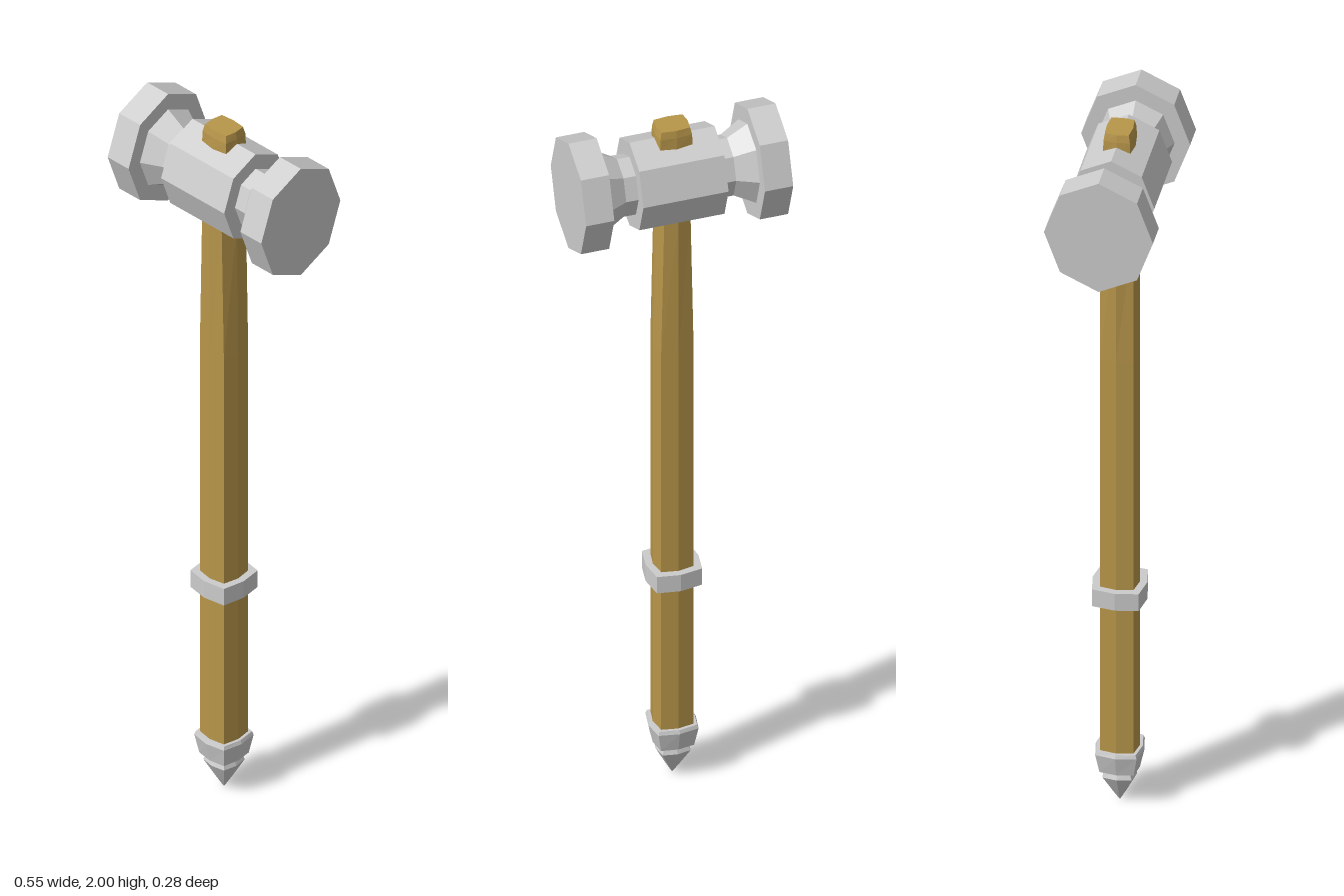
import * as THREE from 'three';

const steel = new THREE.MeshStandardMaterial({ color: 0xcccccc, flatShading: true });
const wood = new THREE.MeshStandardMaterial({ color: 0xb8964a, flatShading: true });

// Ring of eight points: a rectangle whose four sides bulge at the middle.
function ring([y, cx, mx, cz = cx, mz = mx]) {
  return [[0, mz], [cx, cz], [mx, 0], [cx, -cz], [0, -mz], [-cx, -cz], [-mx, 0], [-cx, cz]]
    .map(([x, z]) => [x, y, z]);
}

// Skin a stack of rings from bottom to top and cap both ends.
function loft(sections) {
  const rings = sections.map(ring);
  const pos = [];
  const tri = (a, b, c) => pos.push(...a, ...b, ...c);
  const last = rings.length - 1;
  const bottom = [0, sections[0][0], 0];
  const top = [0, sections[last][0], 0];
  for (let i = 0; i < 8; i++) {
    const j = (i + 1) % 8;
    for (let k = 0; k < last; k++) {
      const lo = rings[k], hi = rings[k + 1];
      tri(lo[i], lo[j], hi[j]);
      tri(lo[i], hi[j], hi[i]);
    }
    tri(bottom, rings[0][j], rings[0][i]);
    tri(top, rings[last][i], rings[last][j]);
  }
  const geo = new THREE.BufferGeometry();
  geo.setAttribute('position', new THREE.Float32BufferAttribute(pos, 3));
  geo.computeVertexNormals();
  return geo;
}

export function createModel() {
  const model = new THREE.Group();
  model.name = 'warHammer';
  const add = (name, geo, material) => {
    const mesh = new THREE.Mesh(geo, material);
    mesh.name = name;
    model.add(mesh);
    return mesh;
  };

  // Octagonal head: half profile of [radius, distance from centre], mirrored
  const half = [[0.111, 0.113], [0.073, 0.113], [0.073, 0.146], [0.1, 0.2],
    [0.14, 0.2], [0.14, 0.275], [0, 0.275]];
  const profile = [...half.map(([r, x]) => [r, -x]).reverse(), ...half]
    .map(([r, x]) => new THREE.Vector2(r, x));
  const headGeo = new THREE.LatheGeometry(profile, 8).toNonIndexed();
  headGeo.rotateZ(-Math.PI / 2);
  headGeo.scale(1, 1.15, 1);
  headGeo.computeVertexNormals();
  add('hammerHead', headGeo, steel).position.y = 1.839;

  // Wooden shaft, tapering towards the head and poking out on top
  add('handle', loft([
    [0.13, 0.043, 0.051],
    [1.33, 0.043, 0.051],
    [1.73, 0.035, 0.047, 0.043, 0.051],
    [1.95, 0.043, 0.048, 0.035, 0.04],
    [1.98, 0.042, 0.046, 0.034, 0.038],
    [2.0, 0.038, 0.042, 0.03, 0.034],
  ]), wood);

  // Steel band around the grip
  add('gripBand', loft([[0.602, 0.06, 0.07], [0.652, 0.06, 0.07]]), steel);

  // Stepped end cap with its spike
  add('endCap', loft([
    [0.1, 0.044, 0.051],
    [0.155, 0.053, 0.063],
    [0.165, 0.05, 0.059],
  ]), steel);
  add('endSpike', loft([
    [0, 0.001, 0.001],
    [0.03, 0.015, 0.018],
    [0.08, 0.037, 0.044],
    [0.102, 0.03, 0.035],
  ]), steel);

  return model;
}
